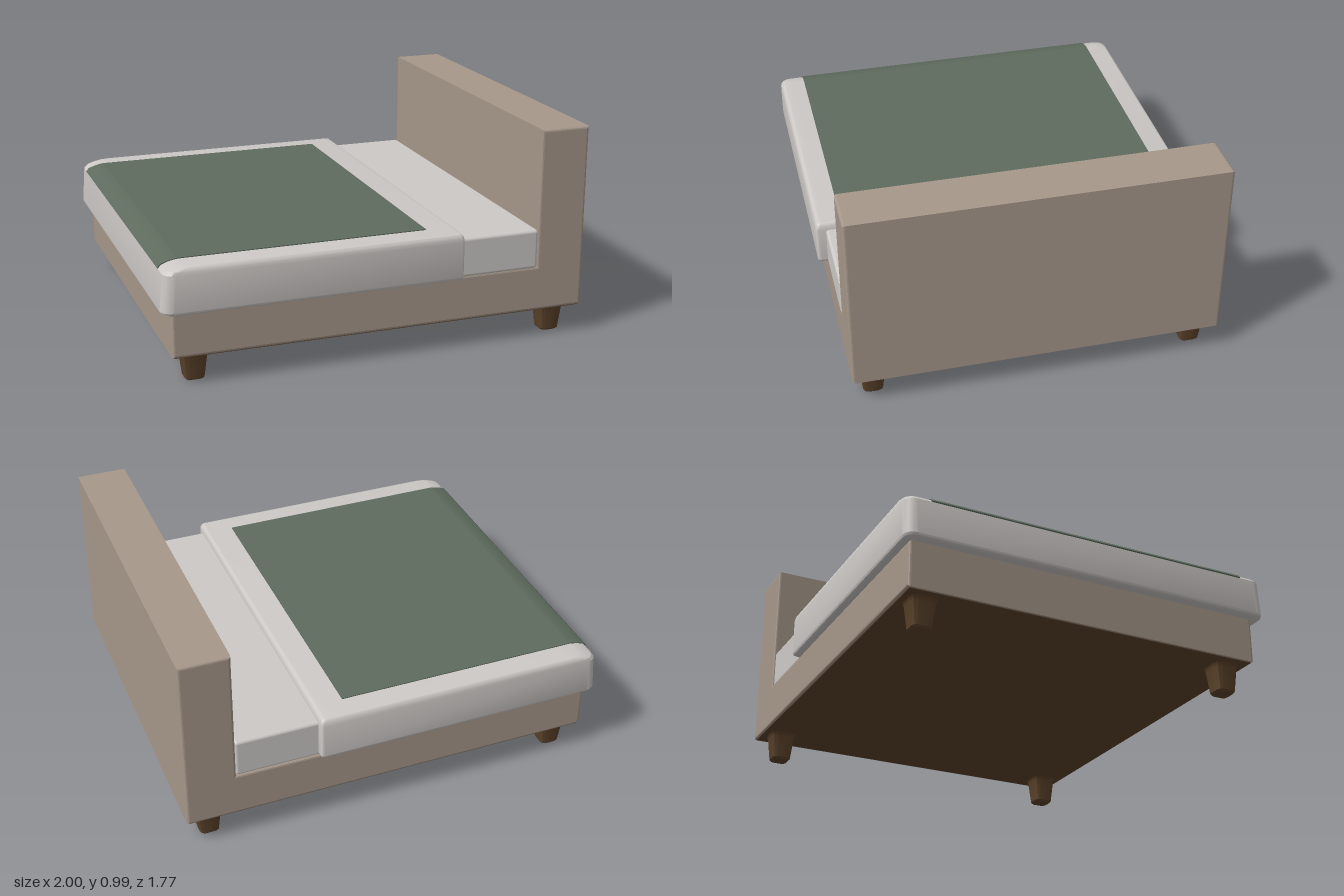
import * as THREE from 'three';
import { toCreasedNormals } from 'three/addons/utils/BufferGeometryUtils.js';
import { RoundedBoxGeometry } from 'three/addons/geometries/RoundedBoxGeometry.js';

const material = (name, color) => {
  const m = new THREE.MeshStandardMaterial({ color });
  m.name = name;
  return m;
};

// Closed solid through a stack of equal-length rings; each ring is a list of [x, y, z].
function loft(rings, crease) {
  const n = rings[0].length;
  const positions = rings.flat(2);
  const index = [];
  for (let r = 0; r < rings.length - 1; r++) {
    for (let i = 0; i < n; i++) {
      const j = (i + 1) % n, a = r * n + i, b = r * n + j;
      index.push(a, a + n, b, b, a + n, b + n);
    }
  }
  const top = (rings.length - 1) * n;
  for (let i = 1; i < n - 1; i++) {
    index.push(0, i, i + 1);
    index.push(top, top + i + 1, top + i);
  }
  const g = new THREE.BufferGeometry();
  g.setAttribute('position', new THREE.Float32BufferAttribute(positions, 3));
  g.setIndex(index);
  return toCreasedNormals(g, crease);
}

// Rounded rectangle in plan at height y, with separate radii for the -x and +x corners.
function planRing(y, x0, x1, z0, z1, rFoot, rHead, steps = 4) {
  const ring = [];
  const corners = [[x1, z1, 1, 1, rHead], [x0, z1, -1, 1, rFoot], [x0, z0, -1, -1, rFoot], [x1, z0, 1, -1, rHead]];
  corners.forEach(([cx, cz, sx, sz, r], k) => {
    for (let i = 0; i <= steps; i++) {
      const a = (k + i / steps) * Math.PI / 2;
      ring.push([cx - sx * r + Math.cos(a) * r, y, cz - sz * r + Math.sin(a) * r]);
    }
  });
  return ring;
}

// Side profile in x and y, extruded from z0 to z1 with softened edges.
function profileSolid(points, z0, z1, bevel) {
  const shape = new THREE.Shape(points.map(([x, y]) => new THREE.Vector2(x, y)));
  const g = new THREE.ExtrudeGeometry(shape, {
    depth: z1 - z0 - 2 * bevel, bevelEnabled: bevel > 0, bevelSize: bevel,
    bevelThickness: bevel, bevelOffset: -bevel, bevelSegments: 3,
  });
  return g.translate(0, 0, z0 + bevel);
}

export function createModel() {
  const upholstery = material('taupe upholstery', 0xa6978a);
  const linen = material('white linen', 0xcdc9c6);
  const green = material('green throw', 0x5e6b5d);
  const wood = material('dark wood', 0x5c432a);

  const bed = new THREE.Group();
  bed.name = 'bed';
  const add = (name, geometry, mat) => {
    const mesh = new THREE.Mesh(geometry, mat);
    mesh.name = name;
    bed.add(mesh);
    return mesh;
  };

  // Base and headboard share one L-shaped profile
  add('frameAndHeadboard', profileSolid([
    [-0.95, 0.135], [0.995, 0.135], [0.995, 0.99], [0.762, 0.99], [0.762, 0.347], [-0.95, 0.347],
  ], -0.857, 0.837, 0.012), upholstery);
  add('underside', new THREE.BoxGeometry(1.925, 0.008, 1.674), wood).position.set(0.0225, 0.136, -0.01);

  // Tapered legs with chamfered corners and a flared top
  const legRings = [[0, 0.038], [0.008, 0.045], [0.115, 0.057], [0.128, 0.062], [0.137, 0.07]]
    .map(([y, h]) => planRing(y, -h, h, -h, h, h * 0.45, h * 0.45, 2));
  const legGeometry = loft(legRings, 0.4);
  for (const x of [-0.837, 0.877]) {
    for (const z of [-0.755, 0.735]) add('leg', legGeometry, wood).position.set(x, 0, z);
  }

  // Mattress showing at the head end
  add('mattress', new RoundedBoxGeometry(0.46, 0.185, 1.69, 3, 0.015), linen).position.set(0.533, 0.4325, -0.005);

  // Duvet: height, foot edge and inset of each layer
  const duvetLayers = [
    [0.345, -0.988, 0.012], [0.35, -0.997, 0.004], [0.36, -1, 0], [0.525, -0.987, 0],
    [0.541, -0.972, 0.002], [0.551, -0.945, 0.006], [0.557, -0.92, 0.011], [0.56, -0.9, 0.018],
  ];
  add('duvet', loft(duvetLayers.map(([y, foot, inset]) =>
    planRing(y, foot, 0.378 - inset, -0.89 + inset, 0.885 - inset, 0.05, 0.015)), 0.4), linen);

  // Throw: a thin sheet following the duvet top and its rounded foot edge
  const lower = [[-0.987, 0.525], [-0.972, 0.541], [-0.945, 0.551], [-0.92, 0.557], [-0.9, 0.56], [0.237, 0.56]];
  const upper = lower.map(([x, y]) => [x - (x < -0.95 ? 0.003 : 0), y + 0.004]).reverse();
  add('throw', profileSolid([...lower, ...upper], -0.775, 0.767, 0), green);

  return bed;
}
